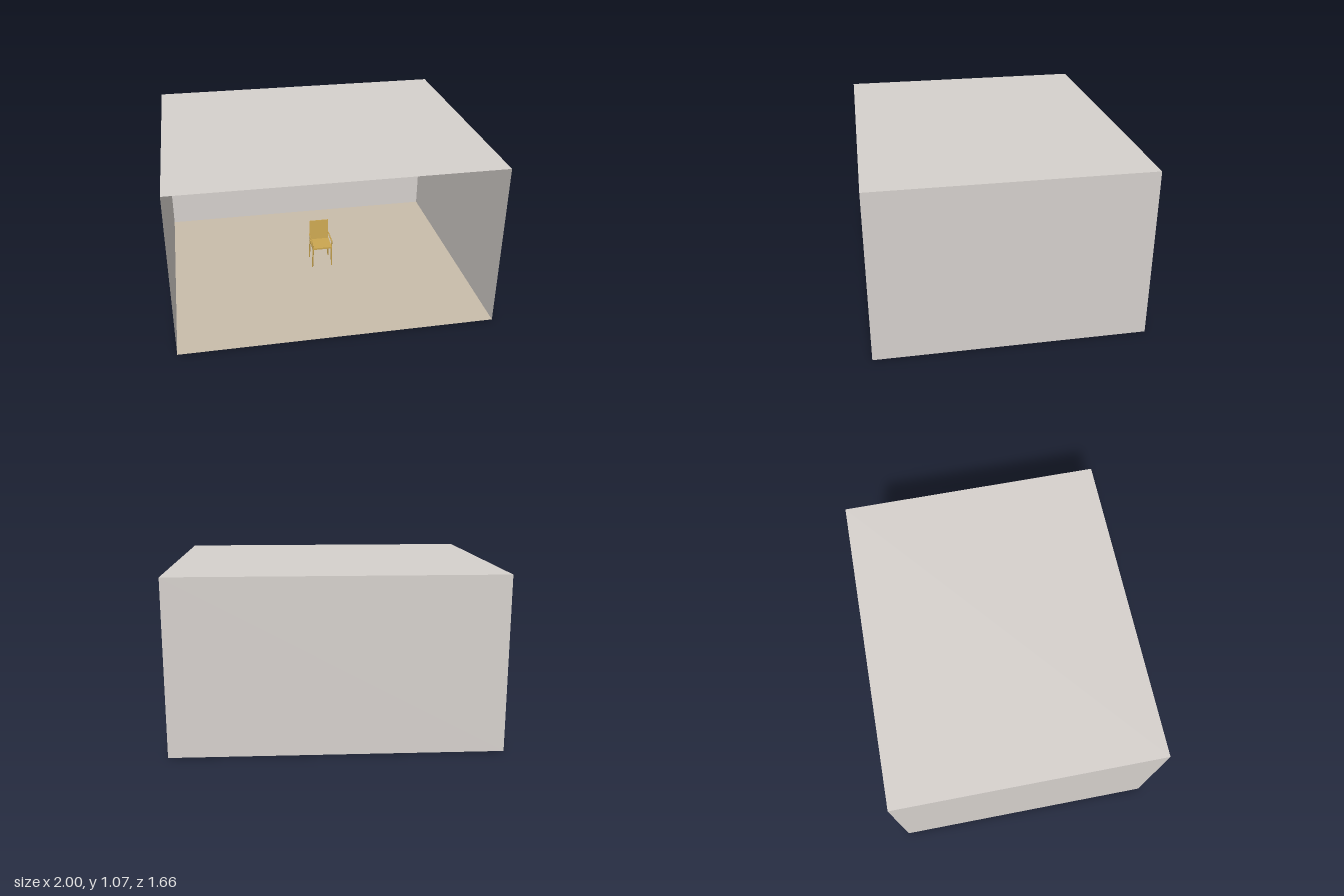
import * as THREE from 'three';

export function createModel() {
  const model = new THREE.Group();
  const wallPaint = new THREE.MeshStandardMaterial({ color: 0xd6d1cd, side: THREE.DoubleSide });
  wallPaint.name = 'wallPaint';
  const floorTan = new THREE.MeshStandardMaterial({ color: 0xc9bdab, side: THREE.DoubleSide });
  floorTan.name = 'floorTan';
  const chairGold = new THREE.MeshStandardMaterial({ color: 0xcba650 });
  chairGold.name = 'chairGold';

  // Room shell, thin panels with an open front
  const W = 2, H = 1.07, D = 1.66;
  const room = new THREE.Group();
  room.name = 'room';
  model.add(room);
  function panel(name, w, h, material, position, rotation) {
    const mesh = new THREE.Mesh(new THREE.PlaneGeometry(w, h), material);
    mesh.name = name;
    mesh.position.set(...position);
    mesh.rotation.set(...rotation);
    room.add(mesh);
  }
  panel('floor', W, D, floorTan, [0, 0, 0], [-Math.PI / 2, 0, 0]);
  panel('ceiling', W, D, wallPaint, [0, H, 0], [-Math.PI / 2, 0, 0]);
  panel('backWall', W, H, wallPaint, [0, H / 2, -D / 2], [0, 0, 0]);
  panel('leftWall', D, H, wallPaint, [W / 2, H / 2, 0], [0, Math.PI / 2, 0]);
  panel('rightWall', D, H, wallPaint, [-W / 2, H / 2, 0], [0, Math.PI / 2, 0]);

  // Armchair, built around its own centre line
  const chair = new THREE.Group();
  chair.name = 'chair';
  chair.position.set(0.04, 0, -0.055);
  model.add(chair);
  function bar(name, from, to, r0, r1) {
    const a = new THREE.Vector3(...from), b = new THREE.Vector3(...to);
    const dir = b.clone().sub(a);
    const mesh = new THREE.Mesh(new THREE.CylinderGeometry(r1, r0, dir.length(), 8), chairGold);
    mesh.name = name;
    mesh.position.copy(a).add(b).multiplyScalar(0.5);
    mesh.quaternion.setFromUnitVectors(new THREE.Vector3(0, 1, 0), dir.normalize());
    chair.add(mesh);
  }
  function board(name, w, h, d, y, z, tilt = 0) {
    const mesh = new THREE.Mesh(new THREE.BoxGeometry(w, h, d), chairGold);
    mesh.name = name;
    mesh.position.set(0, y, z);
    mesh.rotation.x = tilt;
    chair.add(mesh);
  }
  board('seat', 0.138, 0.012, 0.135, 0.15, 0.005);
  board('backrest', 0.135, 0.147, 0.008, 0.227, -0.068, -0.07);

  // Legs and arms, mirrored
  for (const s of [-1, 1]) {
    bar('frontLeg', [s * 0.069, 0, 0.066], [s * 0.065, 0.147, 0.066], 0.004, 0.006);
    bar('backLeg', [s * 0.069, 0, -0.074], [s * 0.065, 0.147, -0.06], 0.004, 0.006);
    bar('armPost', [s * 0.067, 0.15, 0.066], [s * 0.07, 0.197, 0.066], 0.004, 0.004);
    bar('armrest', [s * 0.07, 0.197, 0.069], [s * 0.069, 0.197, -0.068], 0.005, 0.005);
  }
  return model;
}
